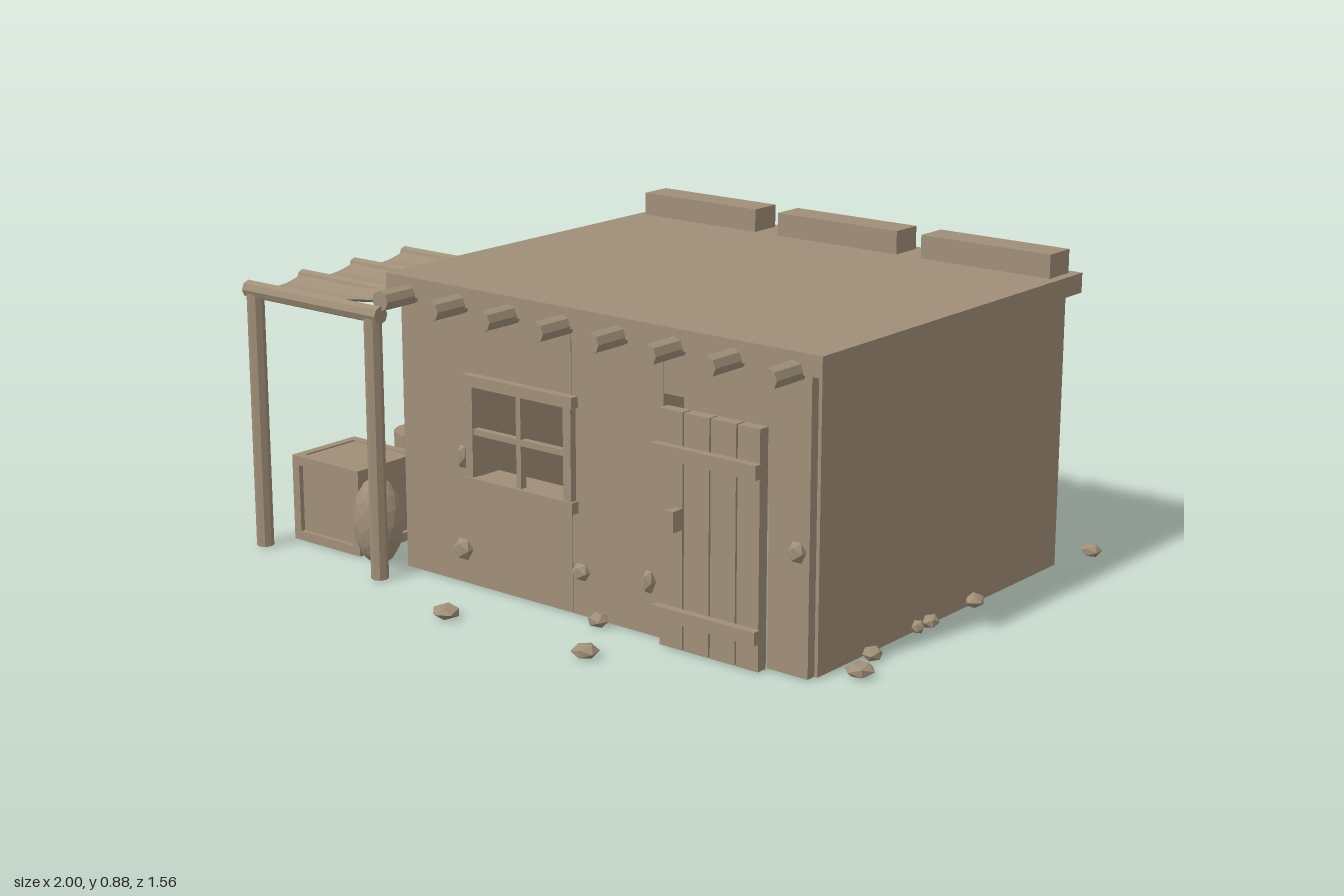
import * as THREE from 'three';

export function createModel() {
  const root = new THREE.Group();
  const clay = new THREE.MeshStandardMaterial({ color: 0xa08f78, flatShading: true });
  clay.name = 'clay';
  const clayTwoSided = new THREE.MeshStandardMaterial({ color: 0xa08f78, flatShading: true, side: THREE.DoubleSide });
  clayTwoSided.name = 'clay cloth';
  const BASE = 0.015;

  function add(name, geometry, x = 0, y = 0, z = 0, parent = root, material = clay) {
    const mesh = new THREE.Mesh(geometry, material);
    mesh.name = name;
    mesh.position.set(x, y, z);
    parent.add(mesh);
    return mesh;
  }
  // Box given by its limits on each axis
  function box(name, x0, x1, y0, y1, z0, z1, parent = root) {
    return add(name, new THREE.BoxGeometry(x1 - x0, y1 - y0, z1 - z0),
      (x0 + x1) / 2, (y0 + y1) / 2, (z0 + z1) / 2, parent);
  }
  function group(name) {
    const g = new THREE.Group();
    g.name = name;
    root.add(g);
    return g;
  }

  // Walls, open underneath
  const TOP = 0.78;
  const walls = group('walls');
  box('rightWall', -0.48, -0.40, BASE, TOP, -0.625, 0.473, walls);
  box('leftWall', 0.81, 0.89, BASE, TOP, -0.625, 0.473, walls);
  box('backWall', -0.47, 0.88, BASE, TOP, -0.632, -0.55, walls);
  box('frontMiddleWall', 0.13, 0.43, BASE, TOP, 0.42, 0.5, walls);
  box('doorLintel', 0.43, 0.757, 0.655, TOP, 0.42, 0.498, walls);
  box('frontEndWall', 0.757, 0.88, BASE, TOP, 0.42, 0.5, walls);

  // Front wall panel with the window opening
  const panel = new THREE.Shape();
  panel.moveTo(-0.47, BASE).lineTo(0.128, BASE).lineTo(0.128, TOP).lineTo(-0.47, TOP).closePath();
  const hole = new THREE.Path();
  hole.moveTo(-0.2, 0.32).lineTo(-0.2, 0.572).lineTo(0.118, 0.572).lineTo(0.118, 0.32).closePath();
  panel.holes.push(hole);
  add('windowWall', new THREE.ExtrudeGeometry(panel, { depth: 0.08, bevelEnabled: false }), 0, 0, 0.42, walls);

  // Window frame and glazing bars
  const win = group('window');
  box('frameTop', -0.232, 0.15, 0.57, 0.6, 0.495, 0.525, win);
  box('frameSill', -0.232, 0.15, 0.29, 0.322, 0.495, 0.525, win);
  box('frameSide', -0.225, -0.2, 0.322, 0.57, 0.495, 0.52, win);
  box('frameSide', 0.116, 0.142, 0.322, 0.57, 0.495, 0.52, win);
  box('verticalBar', -0.05, -0.034, 0.322, 0.57, 0.495, 0.515, win);
  box('horizontalBar', -0.2, 0.116, 0.438, 0.454, 0.495, 0.515, win);

  // Plank door
  const door = group('door');
  [[0.447, 0.52], [0.525, 0.603], [0.608, 0.685], [0.69, 0.757]].forEach(([a, b]) =>
    box('doorPlank', a, b, BASE, 0.63, 0.505, 0.537, door));
  box('doorBrace', 0.44, 0.762, 0.508, 0.545, 0.537, 0.56, door);
  box('doorBrace', 0.44, 0.762, 0.09, 0.125, 0.537, 0.56, door);
  box('doorHandle', 0.498, 0.52, 0.33, 0.385, 0.537, 0.573, door);

  // Roof slab, parapet blocks and beams
  box('roof', -0.51, 0.92, 0.776, 0.83, -0.656, 0.515);
  for (let i = 0; i < 3; i++) {
    const x = -0.485 + i * 0.486;
    box('parapetBlock', x, x + 0.406, 0.825, 0.895, -0.63, -0.535);
  }
  for (let i = 0; i < 8; i++) {
    const beam = new THREE.CylinderGeometry(0.028, 0.028, 1.33, 8).rotateX(Math.PI / 2);
    add('roofBeam', beam, -0.43 + i * 0.181, 0.782, -0.047);
  }

  // Awning: two posts, four poles and a sagging cover
  const awning = group('awning');
  for (const x of [-0.907, -0.455]) {
    add('awningPost', new THREE.CylinderGeometry(0.024, 0.024, 0.72, 8), x, BASE + 0.36, 0.622, awning);
  }
  for (let i = 0; i < 4; i++) {
    const end = i === 3 ? -0.425 : -0.46;
    const r = i === 3 ? 0.024 : 0.02;
    const pole = new THREE.CylinderGeometry(r, r, end + 0.935, 8).rotateZ(Math.PI / 2);
    add('awningPole', pole, (end - 0.935) / 2, 0.745, 0.018 + i * 0.201, awning);
  }
  const cover = new THREE.PlaneGeometry(0.5, 0.603, 6, 18).rotateX(-Math.PI / 2);
  const pos = cover.attributes.position;
  for (let i = 0; i < pos.count; i++) {
    const x = pos.getX(i) - 0.68, z = pos.getZ(i) + 0.32;
    const sag = Math.abs(Math.sin((z - 0.018) / 0.201 * Math.PI));
    pos.setXYZ(i, x, 0.756 - 0.022 * sag + Math.max(0, x + 0.66) * 0.13, z);
  }
  cover.computeVertexNormals();
  add('awningCover', cover, 0, 0, 0, awning, clayTwoSided);

  // Crate: core with a raised frame along every edge
  const crate = group('crate');
  const C = { x: [-0.885, -0.625], y: [BASE, 0.26], z: [0.29, 0.53] };
  const t = 0.026, n = 0.014;
  box('crateCore', C.x[0] + n, C.x[1] - n, C.y[0] + 0.002, C.y[1] - 0.004, C.z[0] + n, C.z[1] - n, crate);
  const span = ([a, b], side) => side ? [b - t, b] : [a, a + t];
  for (const p of [0, 1]) for (const q of [0, 1]) {
    box('crateRailX', ...C.x, ...span(C.y, p), ...span(C.z, q), crate);
    box('crateRailZ', ...span(C.x, p), ...span(C.y, q), ...C.z, crate);
    box('cratePost', ...span(C.x, p), ...C.y, ...span(C.z, q), crate);
  }

  // Barrel and sack beside the crate
  add('barrel', new THREE.CylinderGeometry(0.085, 0.085, 0.24, 14), -0.795, BASE + 0.12, 0.1);
  const sack = add('sack', new THREE.IcosahedronGeometry(1, 2), -0.545, 0.138, 0.535);
  sack.scale.set(0.073, 0.125, 0.066);

  // Loose stones on the ground: x, z, radius
  [[0.925, -0.76, 0.03], [-0.8, -0.295, 0.044], [-0.96, 0.315, 0.04], [0.96, 0.395, 0.04],
    [-0.105, 0.73, 0.04], [0.36, 0.72, 0.037], [0.92, 0.285, 0.027], [0.24, 0.53, 0.03],
    [0.9, 0.0, 0.025], [0.9, -0.205, 0.03], [0.9, 0.055, 0.018], [-0.615, 0.3, 0.022]
  ].forEach(([x, z, r], i) => {
    const stone = add('groundStone', new THREE.IcosahedronGeometry(1, 0), x, 0.03, z);
    stone.scale.set(r, 0.02, r);
    stone.rotation.y = i * 1.3;
  });

  // Stones bedded in the walls: x, y, z, half width, half height
  [[-0.245, 0.37, 0.51, 0.018, 0.036], [-0.25, 0.112, 0.51, 0.031, 0.033], [0.165, 0.137, 0.51, 0.028, 0.026],
    [0.39, 0.16, 0.51, 0.019, 0.034], [0.85, 0.335, 0.51, 0.025, 0.03],
    [0.745, 0.27, -0.638, 0.018, 0.036], [0.637, 0.21, -0.638, 0.025, 0.035], [0.487, 0.105, -0.638, 0.03, 0.032],
    [0.128, 0.39, -0.638, 0.027, 0.04], [0.145, 0.31, -0.638, 0.03, 0.03], [0.02, 0.21, -0.638, 0.022, 0.036],
    [-0.213, 0.28, -0.638, 0.03, 0.03], [-0.28, 0.315, -0.638, 0.021, 0.045], [-0.288, 0.135, -0.638, 0.03, 0.03]
  ].forEach(([x, y, z, w, h]) => {
    const stone = add('wallStone', new THREE.IcosahedronGeometry(1, 0), x, y, z);
    stone.scale.set(w, h, 0.02);
  });

  return root;
}
